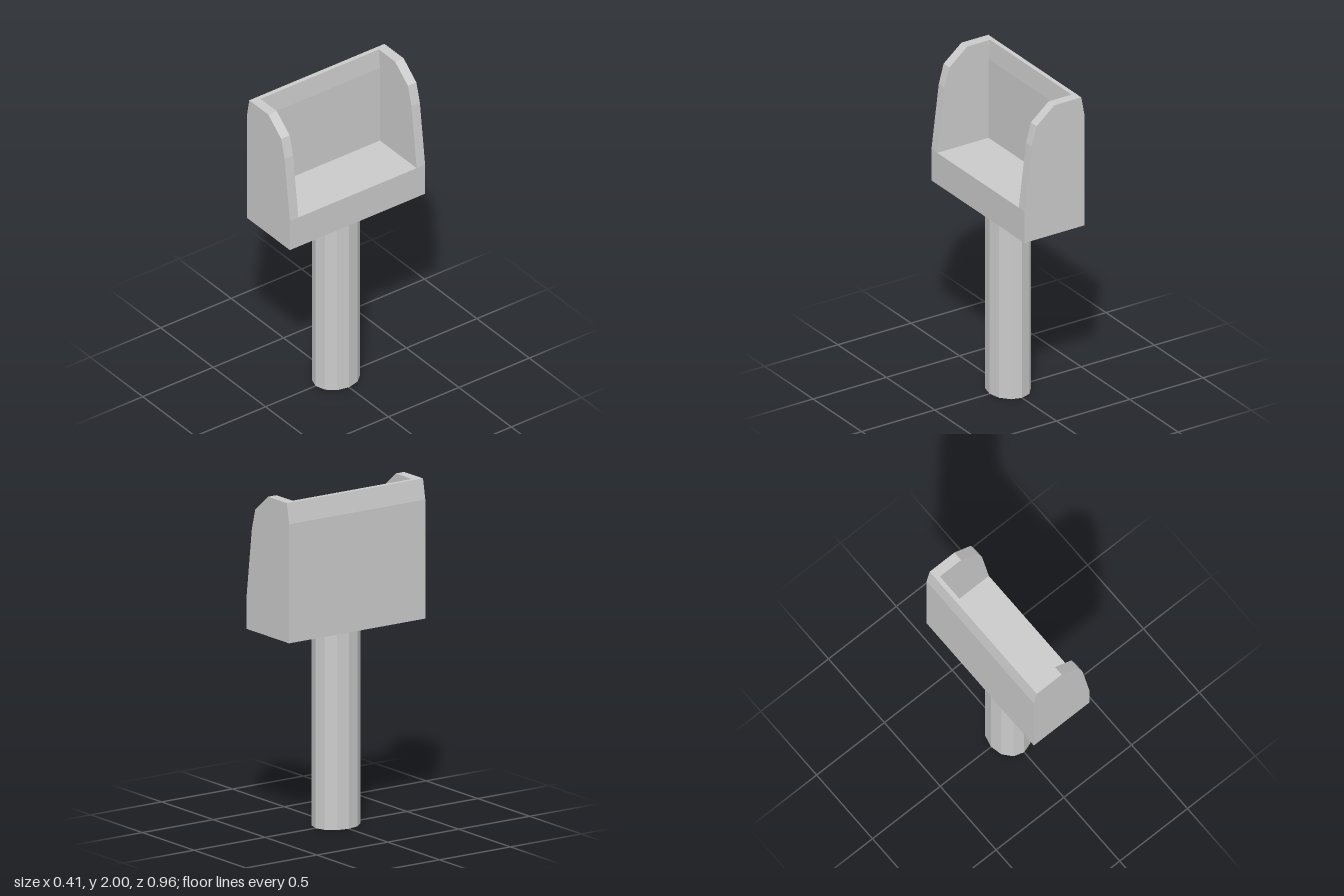
import * as THREE from 'three';

const material = new THREE.MeshStandardMaterial({ color: 0xcccccc, flatShading: true });

// Extrudes an x/y outline along z from z0 to z1.
function slab(name, outline, z0, z1) {
  const shape = new THREE.Shape(outline.map(([x, y]) => new THREE.Vector2(x, y)));
  const geometry = new THREE.ExtrudeGeometry(shape, { depth: z1 - z0, bevelEnabled: false });
  geometry.translate(0, 0, z0);
  const mesh = new THREE.Mesh(geometry, material);
  mesh.name = name;
  return mesh;
}

export function createModel() {
  const group = new THREE.Group();
  group.name = 'trayOnPost';

  const bottom = 1.18, floor = 1.38, top = 2;
  const halfX = 0.205, outerZ = 0.48, innerZ = 0.42;

  // Side walls with a chamfered upper front corner
  const cheek = [
    [-halfX, bottom], [halfX, bottom], [halfX, floor], [0.155, 1.78],
    [0.122, 1.9], [0, top], [-0.183, top], [-halfX, 1.88],
  ];
  group.add(slab('leftEndWall', cheek, innerZ, outerZ));
  group.add(slab('rightEndWall', cheek, -outerZ, -innerZ));

  // Thick floor and back wall in one L-shaped section
  const trough = [
    [-halfX, bottom], [halfX, bottom], [halfX, floor], [-0.145, floor],
    [-0.145, 1.88], [-0.156, top], [-0.183, top], [-halfX, 1.88],
  ];
  group.add(slab('floorAndBackWall', trough, -innerZ, innerZ));

  // Twelve-sided oval post
  const postGeometry = new THREE.CylinderGeometry(1, 1, bottom, 12);
  postGeometry.scale(0.125, 1, 0.145);
  postGeometry.translate(0, bottom / 2, 0);
  const post = new THREE.Mesh(postGeometry, material);
  post.name = 'post';
  group.add(post);

  return group;
}
